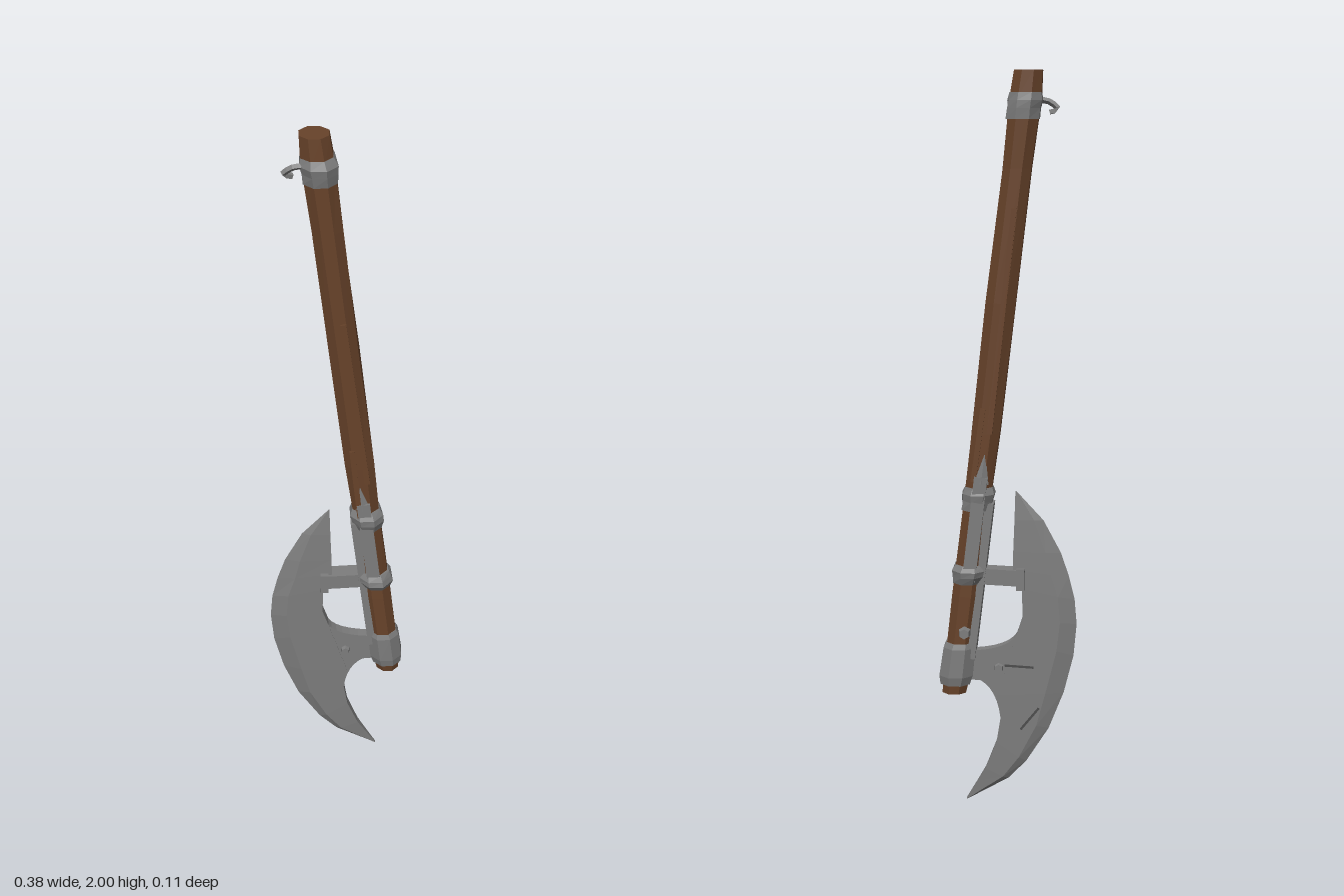
import * as THREE from 'three';

const wood = new THREE.MeshStandardMaterial({ color: 0x68432a, flatShading: true });
wood.name = 'wood';
const steel = new THREE.MeshStandardMaterial({ color: 0x7d7d7d, flatShading: true });
steel.name = 'steel';
const darkSteel = new THREE.MeshStandardMaterial({ color: 0x4c4c4c, flatShading: true });
darkSteel.name = 'dark steel';

const TILT = Math.atan(0.12);
const axisX = y => 0.187 - 0.12 * y; // centre of the leaning shaft

// Small repeatable wobble for hand-made irregularity
const wobble = (i, j) => Math.sin(i * 12.9 + j * 7.3 + 1.7);

// Skin closed rings, ordered bottom to top and counter-clockwise from above
function loft(rings) {
  const n = rings[0].length, index = [];
  for (let r = 0; r < rings.length - 1; r++) {
    for (let i = 0; i < n; i++) {
      const a = r * n + i, b = r * n + (i + 1) % n;
      index.push(a, b, b + n, a, b + n, a + n);
    }
  }
  const top = (rings.length - 1) * n;
  for (let i = 1; i < n - 1; i++) {
    index.push(0, i + 1, i, top, top + i, top + i + 1);
  }
  const g = new THREE.BufferGeometry();
  g.setAttribute('position', new THREE.Float32BufferAttribute(rings.flat(2), 3));
  g.setIndex(index);
  const flat = g.toNonIndexed();
  flat.computeVertexNormals();
  return flat;
}

// Rough polygonal ring about the shaft axis
function ring(y, rx, rz, sides, rough, seed) {
  return Array.from({ length: sides }, (_, i) => {
    const a = (i + 0.5) / sides * Math.PI * 2;
    const k = 1 + rough * wobble(i, seed);
    return [axisX(y) + Math.cos(a) * rx * k, y, -Math.sin(a) * rz * k];
  });
}

export function createModel() {
  const model = new THREE.Group();
  model.name = 'battleAxe';
  const add = (name, geometry, material, parent = model) => {
    const m = new THREE.Mesh(geometry, material);
    m.name = name;
    parent.add(m);
    return m;
  };

  // Carved wooden shaft
  const shaft = [
    [0.32, 0.034], [0.36, 0.04], [0.6, 0.04], [0.85, 0.039], [1.05, 0.041],
    [1.4, 0.042], [1.75, 0.042], [1.93, 0.043], [2.0, 0.041],
  ].map(([y, r], j) => ring(y, r, r, 8, 0.05, j * 0.35));
  shaft[shaft.length - 1].forEach(p => { p[1] = 2; });
  add('shaft', loft(shaft), wood);

  // Splintered strips lying on the shaft
  [[1.25, 0.5, 0.012, 1], [1.0, 0.22, -0.016, 1], [1.35, 0.6, -0.01, -1], [1.02, 0.2, 0.014, -1]]
    .forEach(([y, len, dx, side]) => {
      const s = add('splinter', new THREE.BoxGeometry(0.014, len, 0.008), wood);
      s.position.set(axisX(y) + dx, y, side * 0.038);
      s.rotation.z = TILT + dx;
    });

  // Hammered iron collars
  [[1.91, 0.034, 0.05, 0.056], [0.87, 0.032, 0.046, 0.052], [0.66, 0.026, 0.048, 0.055]]
    .forEach(([y, h, rx, rz], j) => {
      add('collar', loft([
        ring(y - h, rx * 0.92, rz * 0.84, 8, 0.05, j),
        ring(y - h * 0.2, rx, rz, 8, 0.1, j + 2),
        ring(y + h * 0.4, rx, rz * 0.98, 8, 0.08, j + 3),
        ring(y + h, rx * 0.9, rz * 0.82, 8, 0.05, j + 1),
      ]), steel);
    });

  // Bent loose end on the upper collar
  const hook = new THREE.CatmullRomCurve3([
    new THREE.Vector3(-0.075, 1.925, 0.02), new THREE.Vector3(-0.105, 1.92, 0.018),
    new THREE.Vector3(-0.128, 1.9, 0.012), new THREE.Vector3(-0.105, 1.893, 0.005),
  ]);
  add('collarHook', new THREE.TubeGeometry(hook, 6, 0.008, 4), steel);

  // Heavy socket at the foot of the shaft
  add('socket', loft([
    ring(0.345, 0.044, 0.042, 8, 0.03, 1),
    ring(0.37, 0.05, 0.048, 8, 0.04, 1),
    ring(0.45, 0.049, 0.048, 8, 0.04, 2),
    ring(0.465, 0.043, 0.042, 8, 0.03, 2),
  ]), steel);

  // Side straps on the front and back of the shaft
  for (const side of [1, -1]) {
    const upper = add('upperStrap', new THREE.BoxGeometry(0.036, 0.29, 0.012), steel);
    upper.position.set(axisX(0.79) - 0.004, 0.79, side * 0.038);
    upper.rotation.z = TILT;
    const tip = add('strapTip', new THREE.CylinderGeometry(0.003, 0.02, 0.08, 4), steel);
    tip.scale.z = 0.5;
    tip.position.set(axisX(0.96) - 0.006, 0.955, side * 0.036);
    tip.rotation.z = TILT;
  }

  // Spine strap facing the blade
  const spine = add('spineStrap', new THREE.BoxGeometry(0.024, 0.44, 0.056), steel);
  spine.position.set(axisX(0.64) - 0.034, 0.64, 0);
  spine.rotation.z = TILT;

  // Crescent blade: outer and inner edge points with half thickness, foot to tip
  const stations = [
    [0.115, 0.004, 0.117, 0.008, 0.002], [0.06, 0.036, 0.086, 0.06, 0.007],
    [0, 0.07, 0.063, 0.1, 0.011], [-0.05, 0.122, 0.032, 0.18, 0.014],
    [-0.112, 0.22, 0.02, 0.255, 0.015], [-0.153, 0.325, 0.03, 0.315, 0.016],
    [-0.179, 0.43, -0.022, 0.485, 0.016], [-0.187, 0.52, -0.04, 0.54, 0.016],
    [-0.181, 0.59, -0.038, 0.62, 0.016], [-0.165, 0.655, -0.013, 0.675, 0.015],
    [-0.143, 0.72, -0.014, 0.725, 0.013], [-0.095, 0.81, -0.017, 0.81, 0.009],
    [-0.021, 0.89, -0.019, 0.889, 0.002],
  ];
  add('blade', loft(stations.map(([ox, oy, ix, iy, t], j) => {
    const k = 0.27 + 0.05 * wobble(j, 3);
    const bx = ox + (ix - ox) * k, by = oy + (iy - oy) * k;
    return [[ox, oy, 0], [bx, by, t], [ix, iy, t], [ix, iy, -t], [bx, by, -t]];
  })), steel);

  // Curved neck joining the blade to the socket
  const neck = new THREE.Shape();
  neck.moveTo(-0.06, 0.47);
  neck.lineTo(-0.024, 0.49);
  neck.quadraticCurveTo(0, 0.45, 0.09, 0.443);
  neck.lineTo(0.12, 0.36);
  neck.lineTo(0.075, 0.357);
  neck.quadraticCurveTo(0.03, 0.33, 0.021, 0.25);
  neck.lineTo(-0.06, 0.3);
  const neckGeo = new THREE.ExtrudeGeometry(neck, { depth: 0.029, bevelEnabled: false, curveSegments: 6 });
  neckGeo.translate(0, 0, -0.0145);
  add('neck', neckGeo, steel);

  // Arm bracing the blade against the shaft
  const arm = add('braceArm', new THREE.BoxGeometry(0.15, 0.044, 0.046), steel);
  arm.position.set(0.03, 0.653, 0);
  arm.rotation.z = 0.04;
  const foot = add('braceFoot', new THREE.BoxGeometry(0.022, 0.06, 0.056), steel);
  foot.position.set(-0.034, 0.648, 0);

  // Rivets and scored marks on the blade and neck
  for (const side of [1, -1]) {
    const rivet = add('rivet', new THREE.CylinderGeometry(0.011, 0.014, 0.012, 6), steel);
    rivet.rotation.x = side * Math.PI / 2;
    rivet.position.set(0.025, 0.395, side * 0.019);
  }
  [[-0.03, 0.4, 0.08, 0.05], [-0.06, 0.25, 0.08, -0.9]].forEach(([x, y, len, turn]) => {
    const mark = add('scoreMark', new THREE.BoxGeometry(len, 0.006, 0.003), darkSteel);
    mark.position.set(x, y, -0.0165);
    mark.rotation.z = turn;
  });

  // Bolt on the lower strap
  const bolt = add('strapBolt', new THREE.CylinderGeometry(0.014, 0.018, 0.02, 6), steel);
  bolt.rotation.x = -Math.PI / 2;
  bolt.position.set(axisX(0.5) - 0.01, 0.5, -0.046);

  return model;
}
